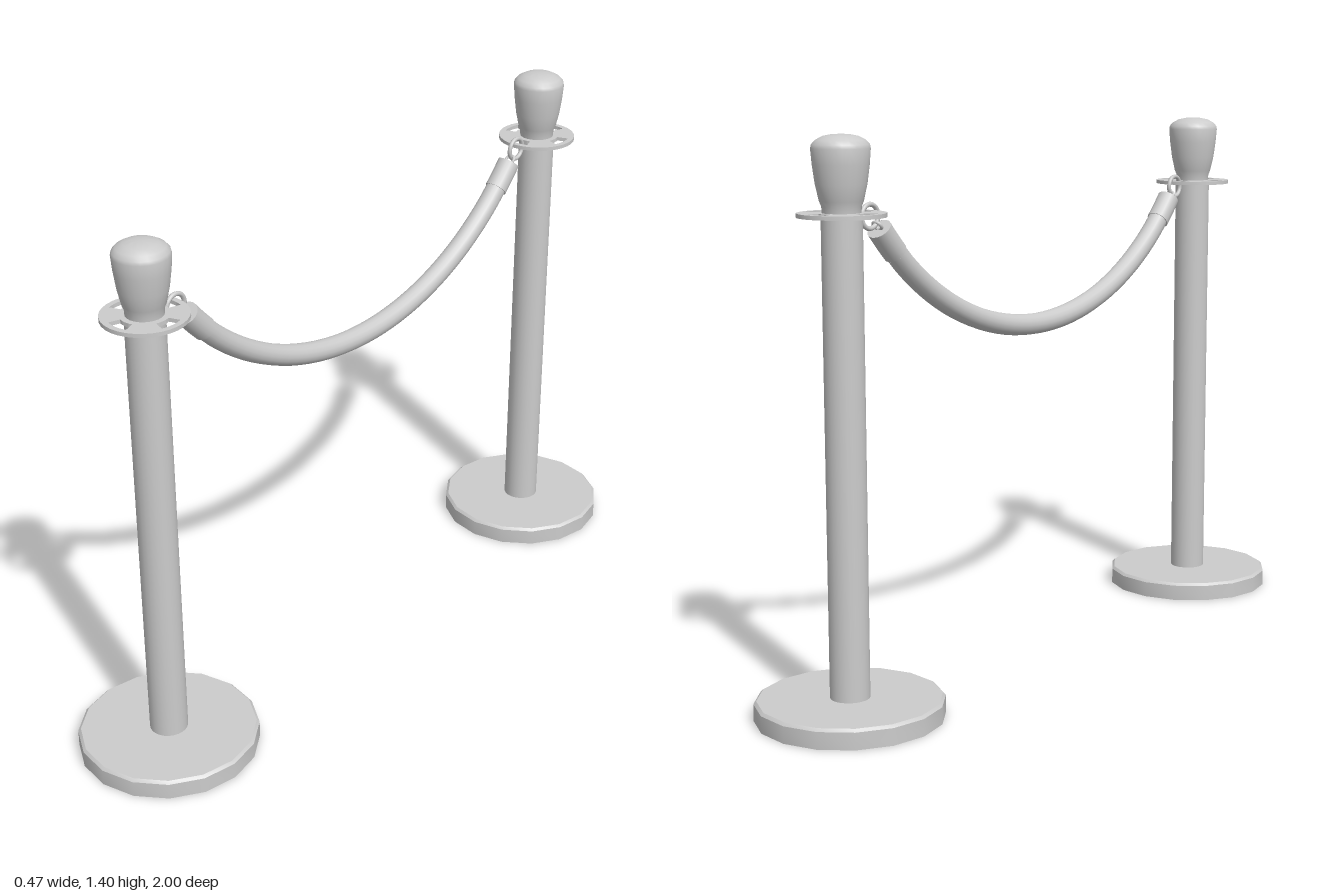
import * as THREE from 'three';
import { toCreasedNormals } from 'three/addons/utils/BufferGeometryUtils.js';

const POST_Z = 0.767;
const ARC_R = 0.831, ARC_Y = 0.88 + ARC_R, ARC_END = 0.872; // circular sag of the rope
const metal = new THREE.MeshStandardMaterial({ color: 0xcccccc, side: THREE.DoubleSide });

function add(parent, name, geometry) {
  const mesh = new THREE.Mesh(geometry, metal);
  mesh.name = name;
  parent.add(mesh);
  return mesh;
}

function lathe(profile, sides) {
  const points = profile.map(([r, y]) => new THREE.Vector2(r, y));
  return toCreasedNormals(new THREE.LatheGeometry(points, sides), 0.6);
}

// Point on the rope arc; angle 0 is the lowest point
function ropePoint(a) {
  return new THREE.Vector3(0, ARC_Y - ARC_R * Math.cos(a), ARC_R * Math.sin(a));
}

function ropeTube(from, to, segments, radius) {
  const points = [];
  for (let i = 0; i <= 12; i++) points.push(ropePoint(from + (to - from) * i / 12));
  return new THREE.TubeGeometry(new THREE.CatmullRomCurve3(points), segments, radius, 16);
}

// Flat ring with four curved slots for the hooks
function plateGeometry() {
  const shape = new THREE.Shape();
  shape.absarc(0, 0, 0.106, 0, Math.PI * 2);
  for (let i = 0; i < 4; i++) {
    const a = i * Math.PI / 2, h = 0.33;
    const slot = new THREE.Path();
    slot.absarc(0, 0, 0.091, a - h, a + h, false);
    slot.absarc(0, 0, 0.061, a + h, a - h, true);
    slot.closePath();
    shape.holes.push(slot);
  }
  const geo = new THREE.ExtrudeGeometry(shape, { depth: 0.01, bevelEnabled: false, curveSegments: 16 });
  geo.rotateX(-Math.PI / 2).translate(0, 1.213, 0);
  return toCreasedNormals(geo, 0.6);
}

function createStanchion() {
  const side = new THREE.Group();
  side.name = 'stanchion';
  const post = new THREE.Group();
  post.name = 'postAssembly';
  post.position.z = POST_Z;
  side.add(post);

  // Hollow base shell, open underneath
  add(post, 'base', lathe([[0.233, 0], [0.233, 0.043], [0.226, 0.05], [0.048, 0.05]], 16));
  add(post, 'pole', new THREE.CylinderGeometry(0.049, 0.049, 1.17, 24, 1, true).translate(0, 0.635, 0));
  add(post, 'hookPlate', plateGeometry());
  add(post, 'finial', lathe([
    [0.046, 1.215], [0.047, 1.238], [0.052, 1.25], [0.061, 1.29], [0.067, 1.335], [0.07, 1.372],
    [0.068, 1.381], [0.059, 1.391], [0.042, 1.4], [0.022, 1.404], [0, 1.405]], 24));

  // Ring through the slot, and the eye at the rope's end
  const ring = add(side, 'hookRing', new THREE.TorusGeometry(0.029, 0.006, 8, 24));
  ring.rotation.y = Math.PI / 2;
  ring.position.set(0, 1.208, 0.669);
  const eye = add(side, 'ropeEye', new THREE.TorusGeometry(0.012, 0.004, 8, 16));
  eye.position.copy(ropePoint(ARC_END + 0.012));
  eye.rotation.x = Math.PI / 2 - ARC_END;

  // Sleeve over the rope's end, closed by discs
  const start = ARC_END - 0.1;
  add(side, 'ropeSleeve', ropeTube(start, ARC_END, 6, 0.031));
  for (const a of [start, ARC_END]) {
    const cap = add(side, 'sleeveCap', new THREE.CircleGeometry(0.031, 16));
    cap.position.copy(ropePoint(a));
    cap.rotation.x = -a;
  }
  return side;
}

export function createModel() {
  const model = new THREE.Group();
  model.name = 'ropeBarrier';
  for (const turn of [0, Math.PI]) {
    const stanchion = createStanchion();
    stanchion.rotation.y = turn;
    model.add(stanchion);
  }
  add(model, 'rope', ropeTube(-ARC_END + 0.02, ARC_END - 0.02, 40, 0.028));
  return model;
}
